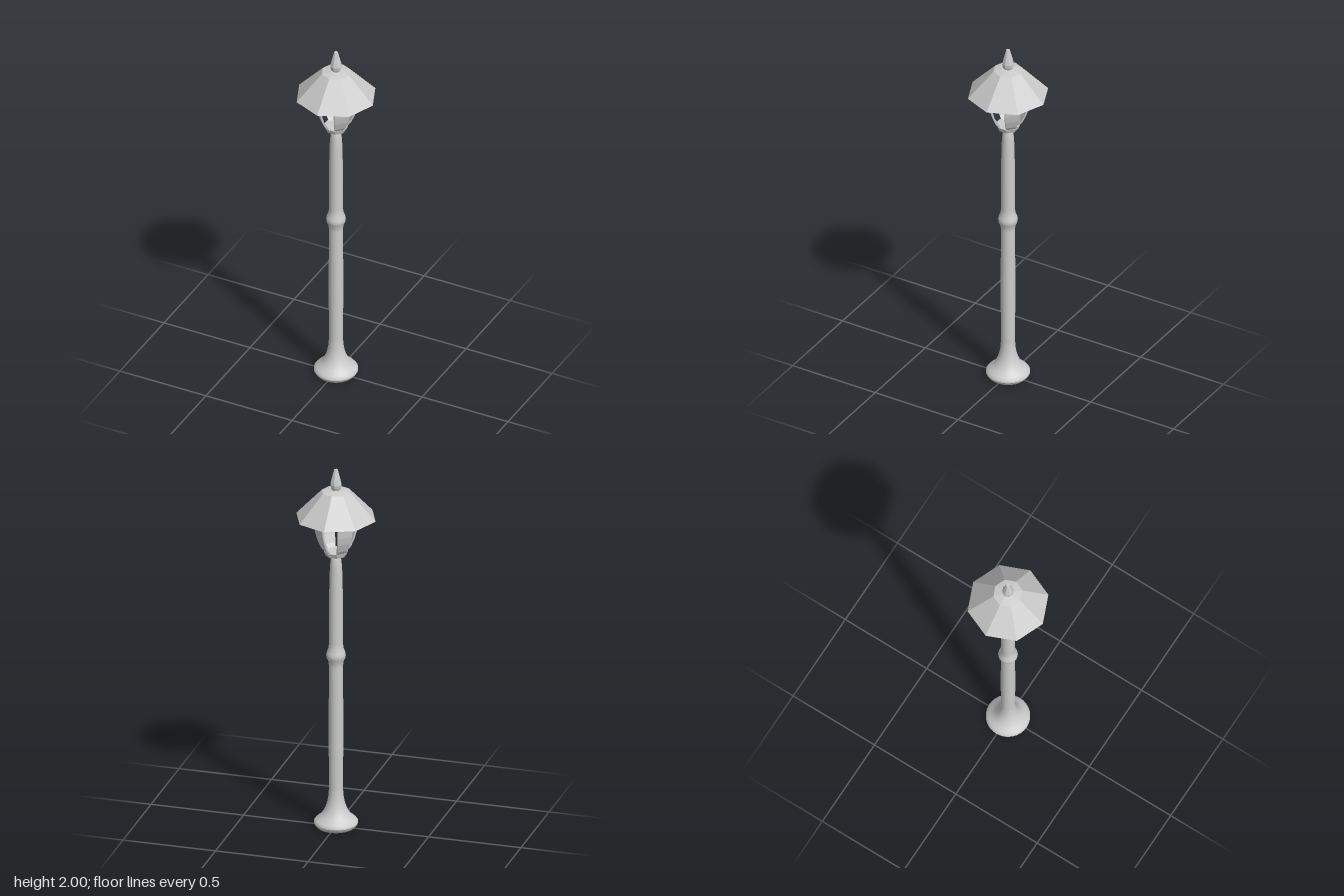
import * as THREE from 'three';

const smooth = new THREE.MeshStandardMaterial({ color: 0xcccccc, side: THREE.DoubleSide });
const flat = new THREE.MeshStandardMaterial({ color: 0xcccccc, side: THREE.DoubleSide, flatShading: true });

// Turned part from [radius, height] pairs, listed bottom to top
function turned(name, profile, sides, material) {
  const points = profile.map(([r, y]) => new THREE.Vector2(r, y));
  const mesh = new THREE.Mesh(new THREE.LatheGeometry(points, sides), material);
  mesh.name = name;
  return mesh;
}

// Curved panel covering one face of an octagonal lantern; profile rows are [apothem, height]
function ribGeometry(profile, thickness) {
  const rows = profile.length - 1;
  const geo = new THREE.BoxGeometry(2, rows, 1, 1, rows, 1);
  const pos = geo.attributes.position;
  for (let i = 0; i < pos.count; i++) {
    const [apothem, y] = profile[Math.round(pos.getY(i) + rows / 2)];
    const z = apothem - (pos.getZ(i) < 0 ? thickness : 0);
    pos.setXYZ(i, pos.getX(i) * apothem * Math.tan(Math.PI / 8), y, z);
  }
  geo.computeVertexNormals();
  return geo;
}

export function createModel() {
  const lamp = new THREE.Group();
  lamp.name = 'streetLamp';

  // Flared foot
  lamp.add(turned('baseUnderside', [[0, 0], [0.098, 0], [0.108, 0.01], [0.115, 0.022]], 32, flat));
  lamp.add(turned('base', [
    [0.115, 0.022], [0.115, 0.032], [0.104, 0.045], [0.085, 0.06], [0.067, 0.083],
    [0.054, 0.11], [0.045, 0.14], [0.039, 0.175], [0.037, 0.21],
  ], 32, smooth));

  // Post with a swollen ring and a rounded top
  lamp.add(turned('post', [
    [0.037, 0.21], [0.038, 0.55], [0.037, 0.9], [0.039, 0.925], [0.049, 0.945],
    [0.051, 0.96], [0.049, 0.975], [0.039, 1.0], [0.036, 1.03], [0.036, 1.25],
    [0.034, 1.4], [0.031, 1.46], [0.027, 1.5], [0.02, 1.515], [0, 1.52],
  ], 24, smooth));

  // Lantern: collar plus four ribs on the diagonals, open faces between
  const lantern = new THREE.Group();
  lantern.name = 'lantern';
  const collar = turned('collar', [[0, 1.52], [0.054, 1.52], [0.064, 1.545], [0, 1.545]], 8, flat);
  collar.rotation.y = Math.PI / 8;
  lantern.add(collar);
  const rib = ribGeometry([
    [0.053, 1.54], [0.072, 1.565], [0.09, 1.61], [0.1, 1.65],
    [0.107, 1.7], [0.107, 1.74], [0.1, 1.83],
  ], 0.01);
  for (let i = 0; i < 4; i++) {
    const mesh = new THREE.Mesh(rib, flat);
    mesh.name = 'lanternRib';
    mesh.rotation.y = Math.PI / 4 + i * Math.PI / 2;
    lantern.add(mesh);
  }
  lamp.add(lantern);

  // Hollow octagonal roof and its finial
  lamp.add(turned('roof', [[0.214, 1.732], [0.077, 1.878], [0, 1.892]], 8, flat));
  lamp.add(turned('finial', [
    [0.022, 1.885], [0.028, 1.9], [0.031, 1.917], [0.026, 1.94], [0.012, 1.992], [0.01, 2], [0, 2],
  ], 8, flat));

  return lamp;
}
